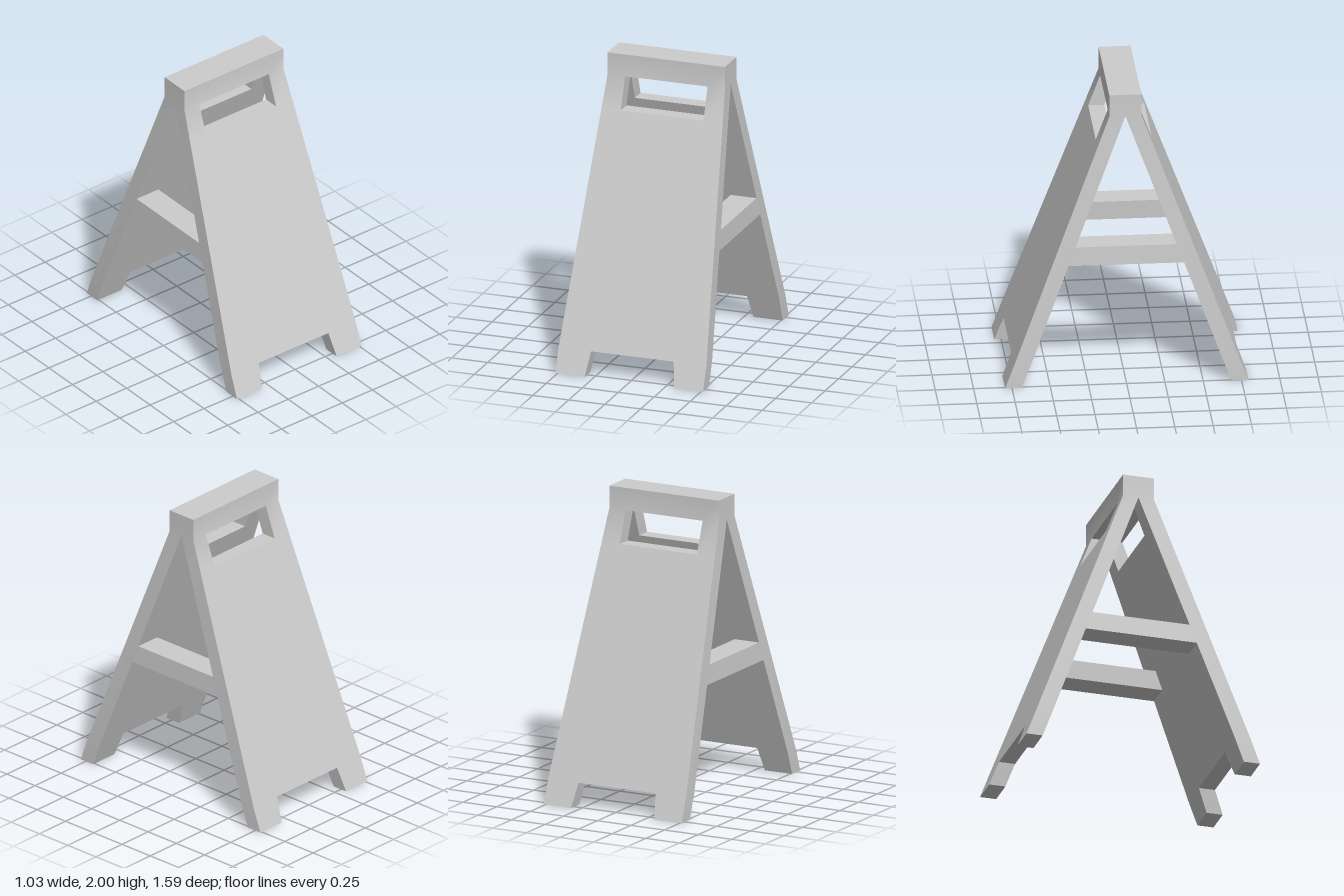
import * as THREE from 'three';
import { toCreasedNormals } from 'three/addons/utils/BufferGeometryUtils.js';

const BEND = 1.85;   // height where the sloped panels meet the upright head
const FLARE = 0.16;  // height of the foot notch, below which the sides run upright

// Section rules: half width, half width of the openings, outer and inner depth
const halfWidth = y => 0.513 - 0.105 * THREE.MathUtils.clamp((y - FLARE) / (BEND - FLARE), 0, 1);
const openWidth = y => (y === 0 ? 0.31 : 0.287);
const outerZ = y => 0.105 + 0.69 * Math.max(0, 1 - y / BEND);
const innerZ = y => 0.685 * Math.max(0, 1 - y / BEND);

// One leaning panel with its half of the head, a hand slot and two feet
function panelGeometry() {
  const rows = [0, FLARE, 1.64, BEND, 2];
  const columns = y => [-halfWidth(y), -openWidth(y), openWidth(y), halfWidth(y)];
  const solid = (c, r) => c >= 0 && c < 3 && r >= 0 && r < 4 && !(c === 1 && (r === 0 || r === 2));
  const positions = [];
  const point = ([c, r], depth) => [columns(rows[r])[c], rows[r], depth(rows[r])];
  const quad = (a, b, c, d) => positions.push(...a, ...b, ...c, ...a, ...c, ...d);

  for (let r = 0; r < 4; r++) {
    for (let c = 0; c < 3; c++) {
      if (!solid(c, r)) continue;
      const corners = [[c, r], [c + 1, r], [c + 1, r + 1], [c, r + 1]];
      const neighbours = [[c, r - 1], [c + 1, r], [c, r + 1], [c - 1, r]];
      const outer = corners.map(p => point(p, outerZ));
      const inner = corners.map(p => point(p, innerZ));
      quad(...outer);
      if (r < 3) quad(...[...inner].reverse()); // the two head halves join solidly
      // Walls wherever the panel ends
      neighbours.forEach((n, i) => {
        const j = (i + 1) % 4;
        if (!solid(...n)) quad(outer[i], inner[i], inner[j], outer[j]);
      });
    }
  }
  const geometry = new THREE.BufferGeometry();
  geometry.setAttribute('position', new THREE.Float32BufferAttribute(positions, 3));
  return toCreasedNormals(geometry, 0.6);
}

// Side brace: a box fitted between the panels and flush with their edges
function braceGeometry() {
  const geometry = new THREE.BoxGeometry(1, 1, 1).toNonIndexed();
  const p = geometry.attributes.position;
  for (let i = 0; i < p.count; i++) {
    const y = p.getY(i) > 0 ? 0.957 : 0.83;
    const x = halfWidth(y) - (p.getX(i) > 0 ? 0 : 0.18);
    p.setXYZ(i, x, y, Math.sign(p.getZ(i)) * innerZ(y));
  }
  geometry.computeVertexNormals();
  return geometry;
}

export function createModel() {
  const model = new THREE.Group();
  model.name = 'foldingFloorSign';
  const plastic = new THREE.MeshStandardMaterial({ color: 0xcccccc });
  plastic.name = 'light grey plastic';
  const panel = panelGeometry();
  const brace = braceGeometry();

  // The sign is the same when turned half way round
  [['front', 'left'], ['back', 'right']].forEach(([face, side], i) => {
    const panelMesh = new THREE.Mesh(panel, plastic);
    panelMesh.name = face + 'Panel';
    const braceMesh = new THREE.Mesh(brace, plastic);
    braceMesh.name = side + 'Brace';
    panelMesh.rotation.y = braceMesh.rotation.y = i * Math.PI;
    model.add(panelMesh, braceMesh);
  });
  return model;
}
